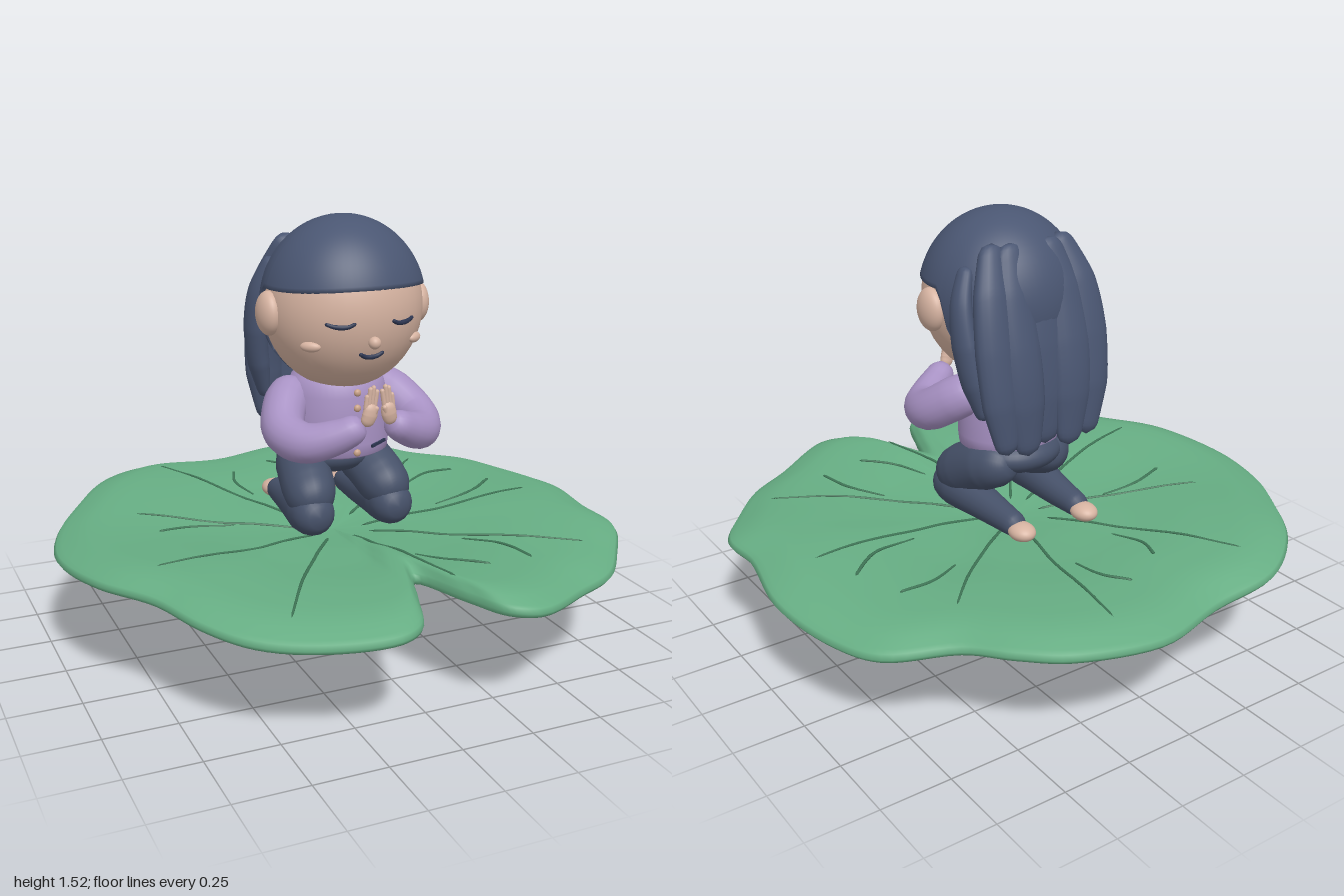
import * as THREE from 'three';
import { mergeVertices } from 'three/addons/utils/BufferGeometryUtils.js';

const mat = (name, color, side = THREE.FrontSide) => {
  const m = new THREE.MeshStandardMaterial({ color, side });
  m.name = name;
  return m;
};
const V = (p) => new THREE.Vector3(...p);
const lerpTable = (table, t) => {
  for (let i = 1; i < table.length; i++) {
    const [a, ya] = table[i - 1], [b, yb] = table[i];
    if (t <= b) return ya + (yb - ya) * THREE.MathUtils.smoothstep(t, a, b);
  }
  return table[table.length - 1][1];
};

export function createModel() {
  const M = {
    leaf: mat('leaf green', 0x66ad83),
    vein: mat('vein green', 0x3f7556),
    skin: mat('skin', 0xd6b3a1),
    hair: mat('hair navy', 0x4a5672, THREE.DoubleSide),
    pants: mat('trouser navy', 0x465169),
    sweater: mat('cardigan lilac', 0xa892c4),
    button: mat('button tan', 0xc9a288),
    line: mat('dark line', 0x2c3550),
  };
  const model = new THREE.Group();
  const figure = new THREE.Group();
  figure.name = 'figure';
  figure.position.x = 0.01;
  model.add(figure);

  const add = (name, geo, material, parent = figure) => {
    const m = new THREE.Mesh(geo, material);
    m.name = name;
    parent.add(m);
    return m;
  };
  const ball = (name, pos, size, material, parent) => {
    const m = add(name, new THREE.SphereGeometry(1, 36, 24), material, parent);
    m.position.set(...pos);
    m.scale.set(...size);
    return m;
  };
  // Round-ended limb: sweeps a varying radius along a curve; squash flattens the section
  const limb = (points, radii, squash = [1, 1, 1], seg = 40, sides = 18) => {
    const curve = new THREE.CatmullRomCurve3(points.map(V));
    const len = curve.getLength();
    const geo = new THREE.TubeGeometry(curve, seg, 1, sides);
    const p = geo.attributes.position, v = new THREE.Vector3();
    for (let i = 0; i <= seg; i++) {
      const u = i / seg, c = curve.getPointAt(u);
      const f = u * (radii.length - 1), k = Math.min(Math.floor(f), radii.length - 2);
      let r = THREE.MathUtils.lerp(radii[k], radii[k + 1], f - k);
      const e = Math.min(u, 1 - u) * len / r;
      if (e < 1) r *= Math.sqrt(Math.max(0, 1 - (1 - e) ** 2));
      for (let j = 0; j <= sides; j++) {
        const n = i * (sides + 1) + j;
        v.fromBufferAttribute(p, n).sub(c).multiplyScalar(r).multiply(V(squash)).add(c);
        p.setXYZ(n, v.x, v.y, v.z);
      }
    }
    geo.deleteAttribute('uv');
    geo.deleteAttribute('normal');
    const out = mergeVertices(geo, 1e-6);
    out.computeVertexNormals();
    return out;
  };

  // Leaf: outline scaled into rings, over the top, round the rim and back underneath
  const outline = [[.11, -.98], [.41, -.91], [.54, -.80], [.65, -.66], [.86, -.53], [.94, -.37], [.995, -.08],
    [.95, .21], [.95, .40], [.83, .59], [.70, .74], [.54, .83], [.30, .96], [.20, .925], [.13, .79], [.04, .59],
    [-.03, .75], [-.10, .91], [-.19, .957], [-.40, .91], [-.60, .80], [-.72, .64], [-.80, .45], [-.93, .24],
    [-.995, -.07], [-.94, -.32], [-.82, -.53], [-.66, -.75], [-.45, -.89], [-.18, -.91]];
  const N = 180;
  const rim = new THREE.CatmullRomCurve3(outline.map(([x, z]) => V([x, 0, z])), true).getPoints(N).slice(0, N);
  const wave = (x, z, t) => t * t * (0.016 * Math.sin(5 * Math.atan2(z, x) + 0.6) - 0.014 * x);
  const topY = [[0, .375], [.35, .405], [.7, .435], [.88, .435], [1, .395]];
  const lowY = [[0, .30], [.4, .31], [.62, .345], [.85, .39], [1, .365]];
  const rings = [];
  for (const t of [0.001, .1, .2, .3, .4, .5, .6, .7, .8, .87, .93, .97, .99]) rings.push([t, lerpTable(topY, t)]);
  rings.push([1, .38]);
  for (const t of [.99, .96, .91, .85, .78, .7, .6, .5, .4, .3, .2, .1, 0.001]) rings.push([t, lerpTable(lowY, t)]);
  const pos = [], idx = [];
  rings.forEach(([t, y], i) => rim.forEach((q, j) => {
    pos.push(q.x * t, y + wave(q.x, q.z, t), q.z * t);
    if (i + 1 < rings.length) {
      const a = i * N + j, b = i * N + (j + 1) % N;
      idx.push(a, b, a + N, b, b + N, a + N);
    }
  }));
  const leafGeo = new THREE.BufferGeometry();
  leafGeo.setAttribute('position', new THREE.Float32BufferAttribute(pos, 3));
  leafGeo.setIndex(idx);
  leafGeo.computeVertexNormals();
  add('leaf', leafGeo, M.leaf, model);

  // Veins laid on the leaf top
  const leafTop = (x, z) => {
    const r = Math.hypot(x, z);
    const q = rim.reduce((best, p) => {
      const d = (p.x * x + p.z * z) / (r * p.length());
      return d > best.d ? { d, p } : best;
    }, { d: -2 }).p;
    const t = Math.min(1, r / q.length());
    return lerpTable(topY, t) + wave(q.x, q.z, t);
  };
  const veins = [
    [[-.08, -.1], [-.26, -.42], [-.43, -.75]], [[.03, -.1], [.13, -.45], [.2, -.84]],
    [[.1, -.08], [.36, -.29], [.555, -.49]], [[.1, .03], [.45, .05], [.79, .03]],
    [[.1, .1], [.42, .37], [.71, .56]], [[.02, .12], [.06, .45], [.12, .71]],
    [[-.06, .1], [-.28, .43], [-.465, .76]], [[-.1, .06], [-.45, .2], [-.74, .27]],
    [[-.1, -.02], [-.4, -.14], [-.66, -.27]],
    [[-.17, -.6], [-.2, -.5], [-.17, -.37]], [[0, -.69], [.06, -.6], [.07, -.47]],
    [[.66, -.31], [.54, -.31], [.4, -.24]], [[.73, -.14], [.6, -.04], [.42, 0]],
    [[.46, .62], [.43, .48], [.34, .35]], [[.29, .64], [.18, .53], [.12, .42]],
    [[-.63, -.08], [-.5, -.11], [-.34, -.1]],
  ];
  for (const v of veins) {
    const flat = new THREE.CatmullRomCurve3(v.map(([x, z]) => V([x, 0, z]))).getPoints(12);
    add('vein', limb(flat.map((p) => [p.x, leafTop(p.x, p.z) + .001, p.z]), [.006, .006, .004], [1, .8, 1], 30, 6), M.vein, model);
  }
  // Stem with a flared collar
  add('stem', limb([[.01, .33, .03], [.005, .24, .02], [-.03, .12, -.005], [-.08, .005, -.03]],
    [.045, .022, .036, .037, .033, .029, .024]), M.leaf, model);
  ball('stemCollar', [.012, .30, .03], [.05, .022, .045], M.leaf, model);

  // Head and face
  ball('head', [0, 1.22, .06], [.278, .29, .265], M.skin);
  const faceZ = (x, y) => .06 + .265 * Math.sqrt(1 - (x / .278) ** 2 - ((y - 1.22) / .29) ** 2);
  const faceLine = (name, pts) =>
    add(name, limb(pts.map(([x, y]) => [x, y, faceZ(x, y) + .002]), [.006, .009, .006], [1, 1, 1], 24, 8), M.line);
  ball('nose', [0, 1.135, .322], [.021, .021, .021], M.skin);
  faceLine('mouth', [[-.045, 1.098], [-.02, 1.084], [.02, 1.084], [.045, 1.098]]);

  // Hair cap: sphere whose lower edge is high at the front and low at the back
  const cap = new THREE.SphereGeometry(1, 64, 28);
  const cp = cap.attributes.position;
  for (let i = 0; i <= 28; i++) for (let j = 0; j <= 64; j++) {
    const phi = j / 64 * Math.PI * 2, s = Math.sin(phi), c = -Math.cos(phi);
    const edge = THREE.MathUtils.lerp(-.78, .29 - .06 * c * c, THREE.MathUtils.smoothstep(s, -.5, -.12));
    const th = Math.acos(edge) * Math.min(1, i / 27), k = i === 28 ? .92 : 1;
    cp.setXYZ(i * 65 + j, .288 * k * c * Math.sin(th), 1.222 + .305 * k * Math.cos(th), .06 + .277 * k * s * Math.sin(th));
  }
  cap.computeVertexNormals();
  add('hairCap', cap, M.hair);
  add('hairBackCentre', limb([[0, 1.42, -.1], [0, 1.2, -.17], [0, .98, -.205], [0, .75, -.215]],
    [.07, .1, .1, .085, .05], [1, 1, .42]), M.hair);

  // Buttons down the cardigan front
  for (const y of [.93, .875, .82, .765, .715]) ball('button', [.005, y, .178], [.013, .013, .01], M.button);

  // Cardigan body and hips
  const torso = add('cardiganBody', new THREE.LatheGeometry([[.001, .70], [.165, .69], [.184, .70], [.188, .74],
    [.186, .83], [.18, .91], [.162, .965], [.11, 1.0], [.001, 1.01]].map((p) => new THREE.Vector2(...p)), 48), M.sweater);
  torso.scale.z = .9;
  torso.position.z = .01;
  ball('hips', [0, .67, -.04], [.17, .075, .145], M.pants);

  // Paired parts
  for (const s of [-1, 1]) {
    const path = (pts) => pts.map(([x, y, z]) => [s * x, y, z]);
    ball('ear', [s * .275, 1.21, .07], [.042, .076, .066], M.skin);
    ball('cheek', [s * .19, 1.12, faceZ(.19, 1.12)], [.036, .018, .018], M.skin).rotation.y = s * .7;
    faceLine('closedEye', path([[.065, 1.205, 0], [.09, 1.193, 0], [.13, 1.193, 0], [.16, 1.203, 0]]));

    // Hair strands down the back and sides
    add('hairStrandInner', limb(path([[.07, 1.45, -.1], [.1, 1.23, -.175], [.1, 1, -.225], [.085, .73, -.235]]),
      [.05, .075, .08, .075, .045], [1, 1, .5]), M.hair);
    add('hairStrandOuter', limb(path([[.13, 1.45, -.08], [.18, 1.25, -.16], [.19, 1, -.21], [.165, .75, -.23]]),
      [.045, .07, .075, .07, .04], [1, 1, .6]), M.hair);
    add('hairStrandSide', limb(path([[.21, 1.38, -.05], [.255, 1.25, -.085], [.25, 1.06, -.12], [.21, .86, -.15]]),
      [.03, .045, .055, .05, .025], [.75, 1, 1]), M.hair);

    // Arms bent to pressed hands
    add('sleeve', limb(path([[.13, .93, -.03], [.205, .88, .04], [.25, .815, .14], [.215, .795, .24], [.12, .83, .315], [.045, .875, .35]]),
      [.07, .078, .075, .07, .06, .045]), M.sweater);
    add('palm', limb(path([[.05, .865, .355], [.036, .9, .362], [.028, .945, .362]]), [.022, .027, .024], [1, 1, .65]), M.skin);
    [.99, 1.005, 1.0, .975].forEach((y, i) =>
      add('finger', limb(path([[.02 + i * .01, .92, .362], [.008 + i * .012, y, .362]]), [.009, .008], [1, 1, 1], 16, 8), M.skin));
    add('thumb', limb(path([[.03, .89, .365], [.012, .935, .372]]), [.01, .009], [1, 1, 1], 16, 8), M.skin);

    // Pocket edge
    const pocket = add('pocketEdge', new THREE.BoxGeometry(.075, .01, .008), M.line);
    pocket.position.set(s * .095, .735, .159);
    pocket.rotation.set(0, s * .48, s * .1);

    // Folded legs and feet
    add('thigh', limb(path([[.09, .66, -.15], [.12, .63, -.02], [.145, .56, .12], [.15, .52, .19]]), [.07, .095, .095, .08]), M.pants);
    add('shin', limb(path([[.15, .51, .225], [.15, .5, .1], [.14, .485, -.08], [.135, .475, -.26]]), [.075, .08, .065, .052, .04]), M.pants);
    ball('foot', [s * .135, .468, -.265], [.046, .032, .055], M.skin);
  }
  return model;
}
